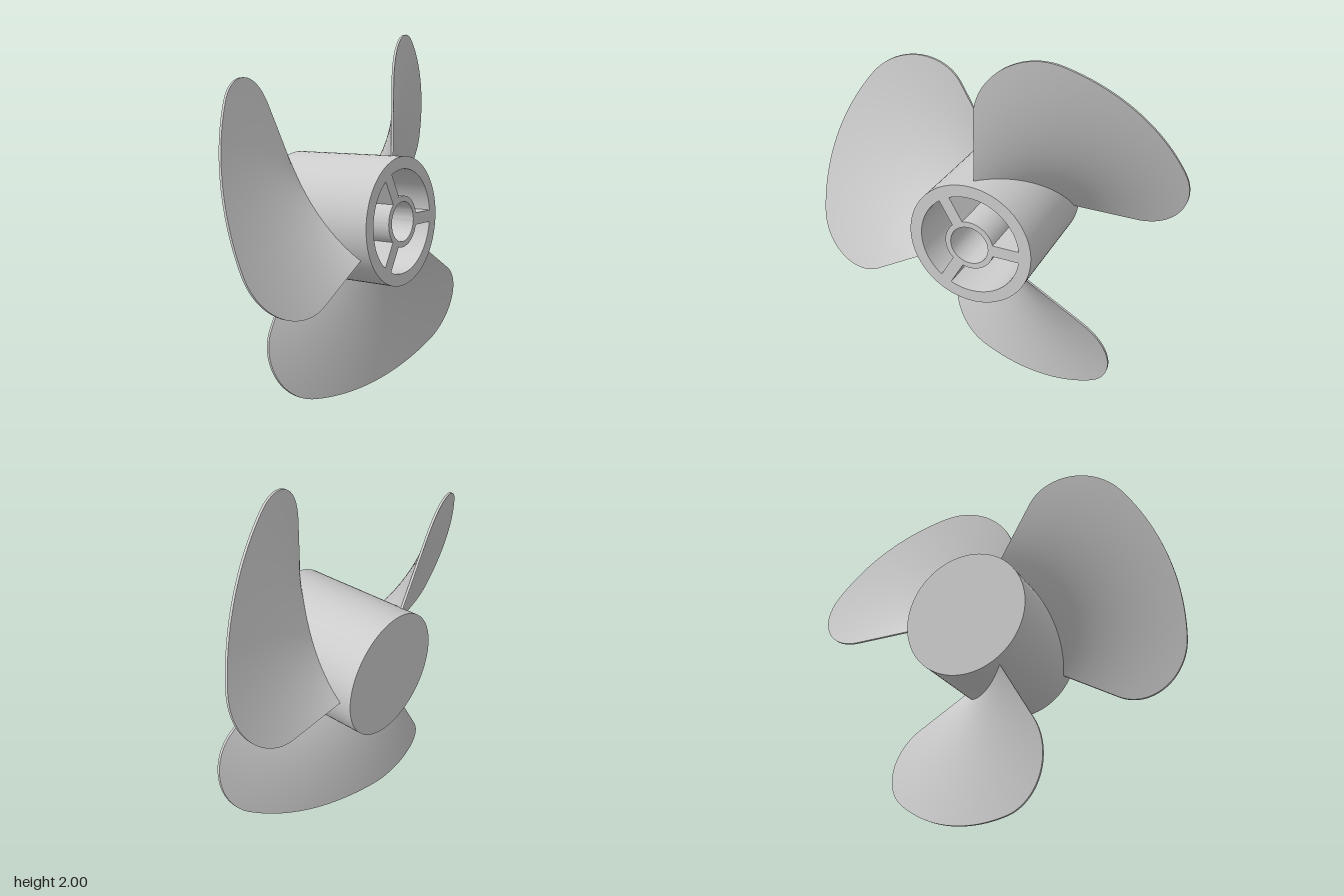
import * as THREE from 'three';
import { toCreasedNormals } from 'three/addons/utils/BufferGeometryUtils.js';

const HUB_R = 0.34, HUB_Z = 0.342, FLOOR = 0.07;
const TIP_R = 1.028;      // blade tip circle
const EDGE_R = 0.69;      // radius where the straight blade edges end
const ROOT_R = 0.32;      // blade root, sunk slightly into the hub
const PITCH = 0.273, THICK = 0.014;
const THIRD = Math.PI * 2 / 3;

// Half the angle a blade spans at radius r: a quarter turn, with corners rounded by a tangent fillet
function halfAngle(r) {
  if (r <= EDGE_R) return Math.PI / 4;
  const fillet = (TIP_R ** 2 - EDGE_R ** 2) / (2 * TIP_R);
  const d = TIP_R - fillet;
  const cos = Math.min(1, (r * r + EDGE_R ** 2) / (2 * r * d));
  return Math.atan2(EDGE_R, fillet) + Math.acos(cos) - Math.PI / 4;
}

// Thin helical blade: a subdivided slab bent into polar coordinates
function bladeGeometry() {
  const geo = new THREE.BoxGeometry(1, 1, 1, 40, 48, 1);
  const pos = geo.attributes.position;
  for (let i = 0; i < pos.count; i++) {
    const v = pos.getY(i) + 0.5;
    const r = v < 0.35
      ? THREE.MathUtils.lerp(ROOT_R, EDGE_R, v / 0.35)
      : EDGE_R + (TIP_R - EDGE_R) * Math.sin((v - 0.35) / 0.65 * Math.PI / 2);
    const turn = -pos.getX(i) * 2 * halfAngle(r);
    const a = Math.PI / 4 + turn;
    const z = PITCH * turn / (Math.PI / 4) + pos.getZ(i) * THICK;
    pos.setXYZ(i, r * Math.cos(a), r * Math.sin(a), z);
  }
  geo.computeVertexNormals();
  return geo;
}

// Hub section: rim, three spokes and a bored centre
function hubGeometry() {
  const shape = new THREE.Shape();
  shape.absarc(0, 0, HUB_R, 0, Math.PI * 2);
  const bore = new THREE.Path();
  bore.absarc(0, 0, 0.105, 0, Math.PI * 2, true);
  shape.holes.push(bore);
  const outer = 0.275, inner = 0.135, halfSpoke = 0.032;
  const ao = Math.asin(halfSpoke / outer), ai = Math.asin(halfSpoke / inner);
  for (let k = 0; k < 3; k++) {
    const a = k * THIRD, b = a + THIRD;
    const pocket = new THREE.Path();
    pocket.absarc(0, 0, outer, a + ao, b - ao, false);
    pocket.absarc(0, 0, inner, b - ai, a + ai, true);
    pocket.closePath();
    shape.holes.push(pocket);
  }
  const geo = new THREE.ExtrudeGeometry(shape, {
    depth: 2 * HUB_Z - FLOOR, bevelEnabled: false, curveSegments: 40,
  });
  geo.translate(0, 0, FLOOR - HUB_Z);
  return toCreasedNormals(geo, 0.5);
}

export function createModel() {
  const group = new THREE.Group();
  group.name = 'propeller';
  const material = new THREE.MeshStandardMaterial({ color: 0xcccccc });
  const add = (name, geo) => {
    const mesh = new THREE.Mesh(geo, material);
    mesh.name = name;
    group.add(mesh);
    return mesh;
  };

  add('hub', hubGeometry());

  // Solid plate closing the back of the hub
  const plate = new THREE.CylinderGeometry(HUB_R, HUB_R, FLOOR, 80);
  plate.rotateX(Math.PI / 2);
  add('hubBackPlate', plate).position.z = FLOOR / 2 - HUB_Z;

  // Three equal blades around the hub
  const blade = bladeGeometry();
  for (let k = 0; k < 3; k++) add('blade' + (k + 1), blade).rotation.z = k * THIRD;

  group.position.set(0.027, TIP_R, 0);
  return group;
}
